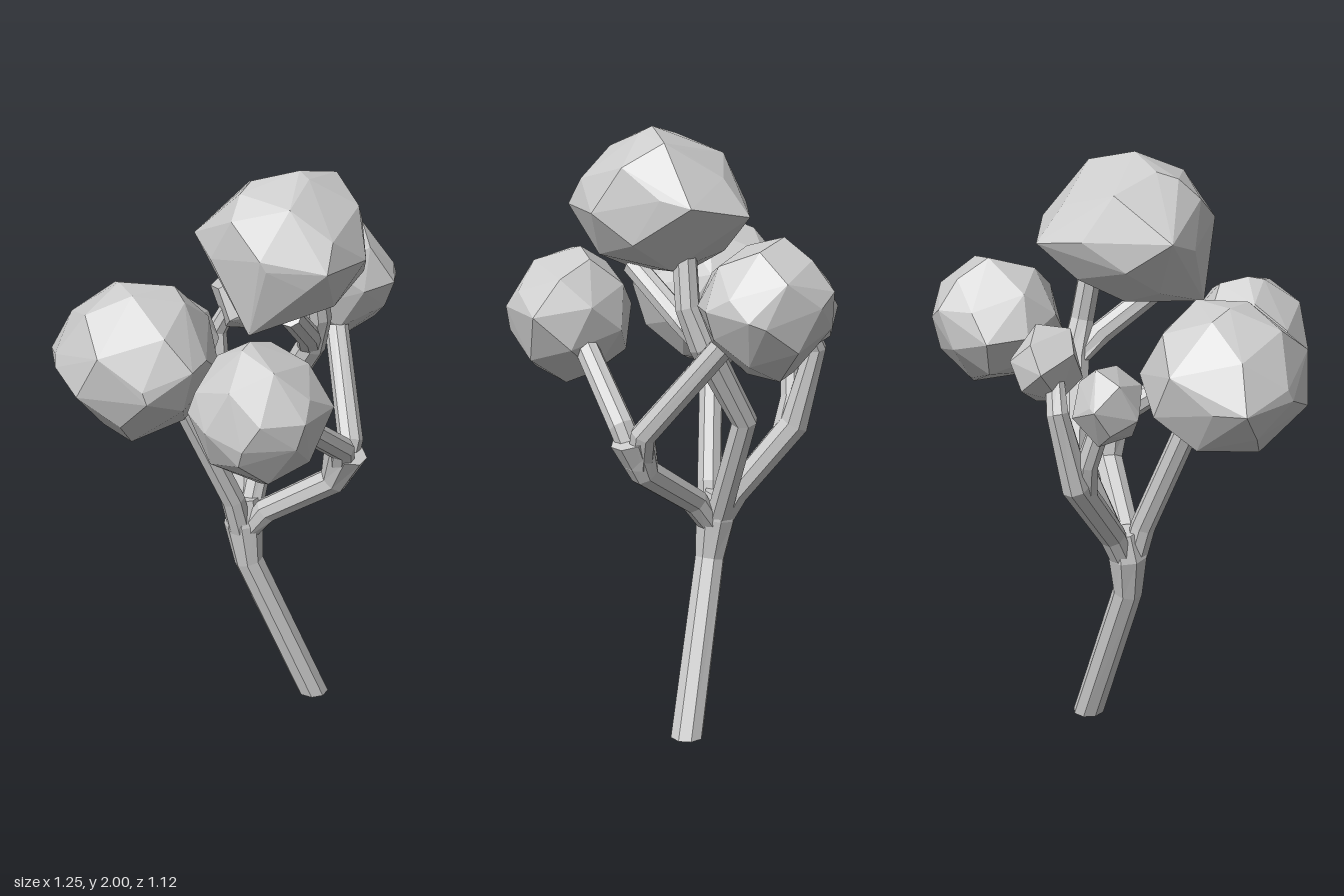
import * as THREE from 'three';
import { ConvexGeometry } from 'three/addons/geometries/ConvexGeometry.js';

const SIDES = 8;
const UP = new THREE.Vector3(0, 1, 0);

// Faceted limb lofted through [x, y, z, radius] points, capped at both ends.
function limbGeometry(path) {
  const pts = path.map(([x, y, z]) => new THREE.Vector3(x, y, z));
  const pos = [], index = [];
  pts.forEach((p, i) => {
    const t = UP.clone();
    if (i > 0) {
      t.subVectors(p, pts[i - 1]).normalize();
      if (i < pts.length - 1) t.add(pts[i + 1].clone().sub(p).normalize()).normalize();
    }
    const q = new THREE.Quaternion().setFromUnitVectors(UP, t);
    for (let k = 0; k < SIDES; k++) {
      const a = (k + 0.5) / SIDES * Math.PI * 2, r = path[i][3];
      const v = new THREE.Vector3(Math.cos(a) * r, 0, Math.sin(a) * r).applyQuaternion(q).add(p);
      pos.push(v.x, v.y, v.z);
      if (i > 0) {
        const b = i * SIDES + k, c = i * SIDES + (k + 1) % SIDES;
        index.push(b - SIDES, b, c - SIDES, b, c, c - SIDES);
      }
    }
  });
  const top = (pts.length - 1) * SIDES;
  for (let k = 1; k < SIDES - 1; k++) {
    index.push(0, k, k + 1, top, top + k + 1, top + k);
  }
  const g = new THREE.BufferGeometry();
  g.setAttribute('position', new THREE.Float32BufferAttribute(pos, 3));
  g.setIndex(index);
  g.computeVertexNormals();
  return g;
}

// Convex clump: a coarse ellipsoid core with a few corners pulled out of it.
function clumpGeometry({ center, radii, count = 26, turn = 0, corners = [] }) {
  const pts = corners.map(c => new THREE.Vector3(...c));
  for (let i = 0; i < count; i++) {
    const y = 1 - 2 * (i + 0.5) / count, r = Math.sqrt(1 - y * y), a = i * 2.39996 + turn;
    pts.push(new THREE.Vector3(Math.cos(a) * r, y, Math.sin(a) * r)
      .multiply(new THREE.Vector3(...radii)).add(new THREE.Vector3(...center)));
  }
  return new ConvexGeometry(pts);
}

export function createModel() {
  const group = new THREE.Group();
  const material = new THREE.MeshStandardMaterial({ color: 0xcccccc, flatShading: true });
  const add = (name, geometry) => {
    const mesh = new THREE.Mesh(geometry, material);
    mesh.name = name;
    group.add(mesh);
  };

  // Leaning trunk and the limbs that fork from its swollen top
  const limbs = {
    trunk: [[0.257, 0, -0.09, 0.055], [0.03, 0.55, -0.135, 0.051],
      [0.016, 0.69, -0.152, 0.068], [0.02, 0.78, -0.165, 0.05]],
    leftLimb: [[0.01, 0.64, -0.14, 0.044], [-0.03, 0.8, -0.125, 0.042], [-0.28, 1.35, -0.1, 0.04]],
    forkedLimb: [[0.03, 0.66, -0.14, 0.045], [0.08, 0.76, -0.09, 0.045],
      [0.27, 0.91, 0.045, 0.05], [0.3, 1.03, 0.08, 0.075]],
    forkedLimbFront: [[0.29, 0.95, 0.07, 0.045], [0.27, 1.06, 0.12, 0.043], [-0.04, 1.33, 0.33, 0.04]],
    forkedLimbBack: [[0.29, 0.93, 0.06, 0.045], [0.33, 1.05, 0.04, 0.043], [0.375, 1.42, -0.27, 0.04]],
    crownLimb: [[0.03, 0.68, -0.16, 0.045], [0.15, 1.06, -0.26, 0.044], [0.25, 1.33, -0.14, 0.05],
      [0.26, 1.45, -0.09, 0.041], [0.22, 1.68, -0.07, 0.039]],
    crownLimbFront: [[0.25, 1.31, -0.15, 0.042], [0.21, 1.4, -0.06, 0.04], [0.09, 1.55, 0.11, 0.038]],
    rearLimb: [[0.02, 0.66, -0.16, 0.045], [0.02, 0.78, -0.22, 0.045],
      [0.005, 1.02, -0.41, 0.05], [0.02, 1.28, -0.475, 0.037], [0.06, 1.38, -0.44, 0.03]],
    rearLimbLeft: [[0.005, 0.97, -0.37, 0.042], [-0.03, 1.1, -0.395, 0.037], [-0.1, 1.3, -0.38, 0.033]],
  };
  for (const [name, path] of Object.entries(limbs)) add(name, limbGeometry(path));

  // Leaf clumps: four large and two small at the back
  const clumps = {
    crownClump: {
      center: [0.12, 1.755, 0.015], radii: [0.262, 0.235, 0.27], turn: 1,
      corners: [[0.14, 2, 0.04], [-0.05, 1.94, 0.03], [0.285, 1.965, -0.02], [0.4, 1.78, -0.12],
        [0.275, 1.74, -0.285], [-0.155, 1.775, -0.125], [-0.06, 1.515, 0.15],
        [-0.03, 1.75, 0.23], [0.14, 1.75, 0.31], [0.26, 1.62, -0.1]],
    },
    leftClump: {
      center: [-0.355, 1.38, -0.105], radii: [0.268, 0.247, 0.275], turn: 2,
      corners: [[-0.595, 1.36, -0.31], [-0.25, 1.42, 0.17], [-0.4, 1.33, 0.17],
        [-0.625, 1.37, -0.12], [-0.4, 1.625, -0.15], [-0.23, 1.61, -0.1], [-0.41, 1.13, 0]],
    },
    frontClump: {
      center: [-0.09, 1.34, 0.35], radii: [0.21, 0.228, 0.21], turn: 3,
      corners: [[-0.305, 1.35, 0.3], [-0.2, 1.3, 0.525], [-0.01, 1.38, 0.555],
        [0.125, 1.37, 0.435], [-0.11, 1.57, 0.32], [-0.095, 1.11, 0.37]],
    },
    rightClump: {
      center: [0.395, 1.485, -0.35], radii: [0.22, 0.212, 0.21], turn: 4,
      corners: [[0.175, 1.48, -0.435], [0.25, 1.47, -0.545], [0.445, 1.55, -0.56],
        [0.62, 1.48, -0.32], [0.56, 1.5, -0.185], [0.375, 1.7, -0.4], [0.46, 1.27, -0.4]],
    },
    rearLeftClump: {
      center: [-0.11, 1.31, -0.38], radii: [0.107, 0.135, 0.128], count: 14, turn: 5,
      corners: [[-0.165, 1.33, -0.51], [0, 1.3, -0.4], [-0.065, 1.28, -0.245], [-0.22, 1.28, -0.37]],
    },
    rearRightClump: {
      center: [0.105, 1.41, -0.42], radii: [0.105, 0.135, 0.128], count: 14, turn: 6,
      corners: [[0.02, 1.42, -0.545], [0.17, 1.43, -0.525], [0.15, 1.4, -0.285]],
    },
  };
  for (const [name, spec] of Object.entries(clumps)) add(name, clumpGeometry(spec));

  return group;
}
